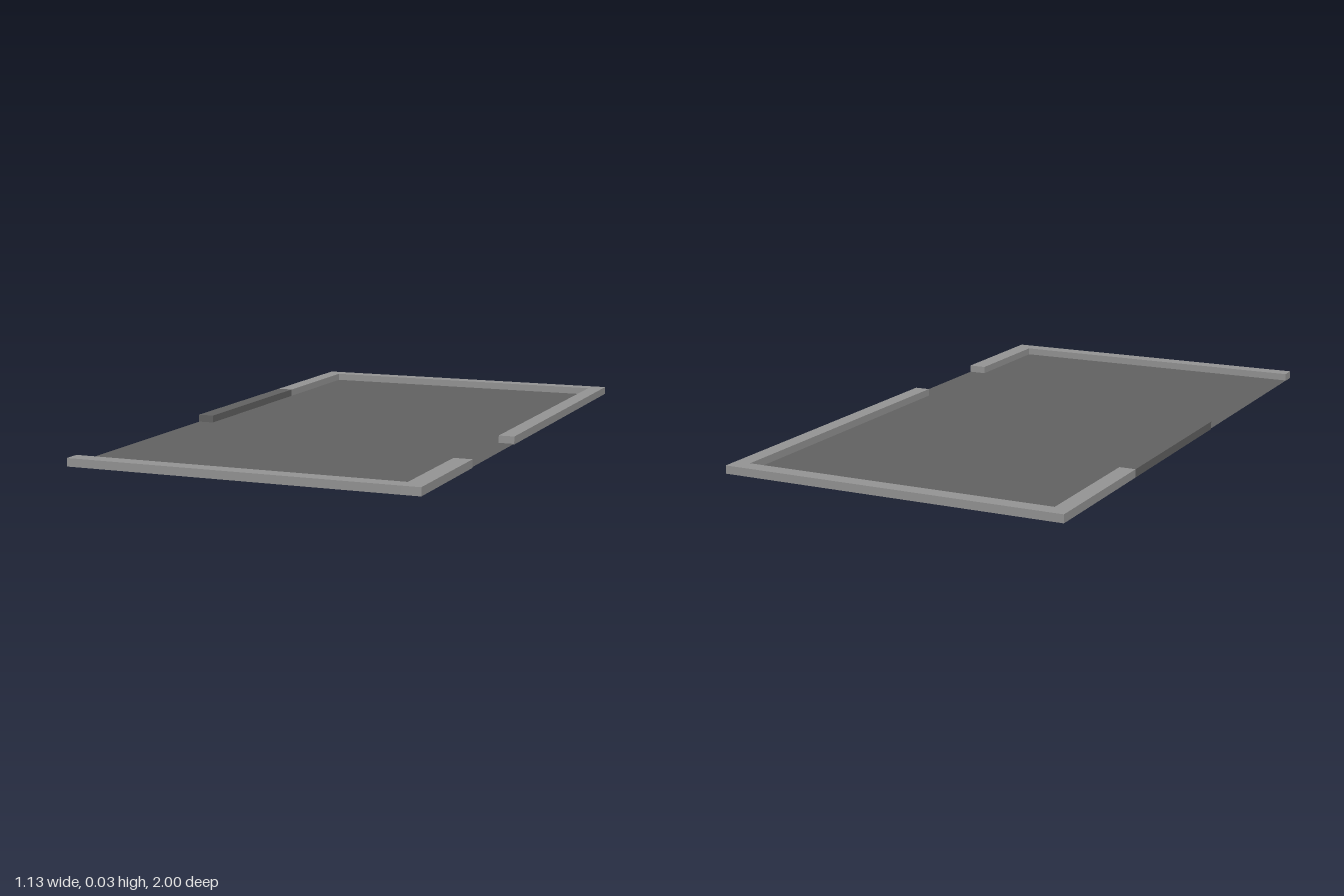
import * as THREE from 'three';

const HEIGHT = 0.026;

export function createModel() {
  const group = new THREE.Group();
  const light = new THREE.MeshStandardMaterial({ color: 0x969696 });
  const dark = new THREE.MeshStandardMaterial({ color: 0x636363 });
  const sheet = new THREE.MeshStandardMaterial({ color: 0x636363, side: THREE.DoubleSide });

  // Box wall standing on the ground, given by its plan extents
  function wall(name, x0, x1, z0, z1, material = light) {
    const mesh = new THREE.Mesh(new THREE.BoxGeometry(x1 - x0, HEIGHT, z1 - z0), material);
    mesh.position.set((x0 + x1) / 2, HEIGHT / 2, (z0 + z1) / 2);
    mesh.name = name;
    group.add(mesh);
  }

  // Thin floor sheet, just above the underside of the walls
  const floor = new THREE.Mesh(new THREE.PlaneGeometry(1.128, 1.996), sheet);
  floor.rotation.x = -Math.PI / 2;
  floor.position.y = 0.002;
  floor.name = 'floor';
  group.add(floor);

  // Back and front walls
  wall('backWall', -0.512, 0.513, -1, -0.948);
  wall('frontWall', -0.562, 0.505, 0.946, 1);

  // Left side, with a doorway between its two walls
  wall('leftRearWall', 0.513, 0.565, -1, 0.15);
  wall('leftFrontWall', 0.505, 0.565, 0.563, 1);

  // Right side, a light wall continued by a dark one, open towards the front
  wall('rightRearWall', -0.565, -0.512, -1, -0.495);
  wall('rightDarkWall', -0.565, -0.512, -0.495, 0.15, dark);

  return group;
}
